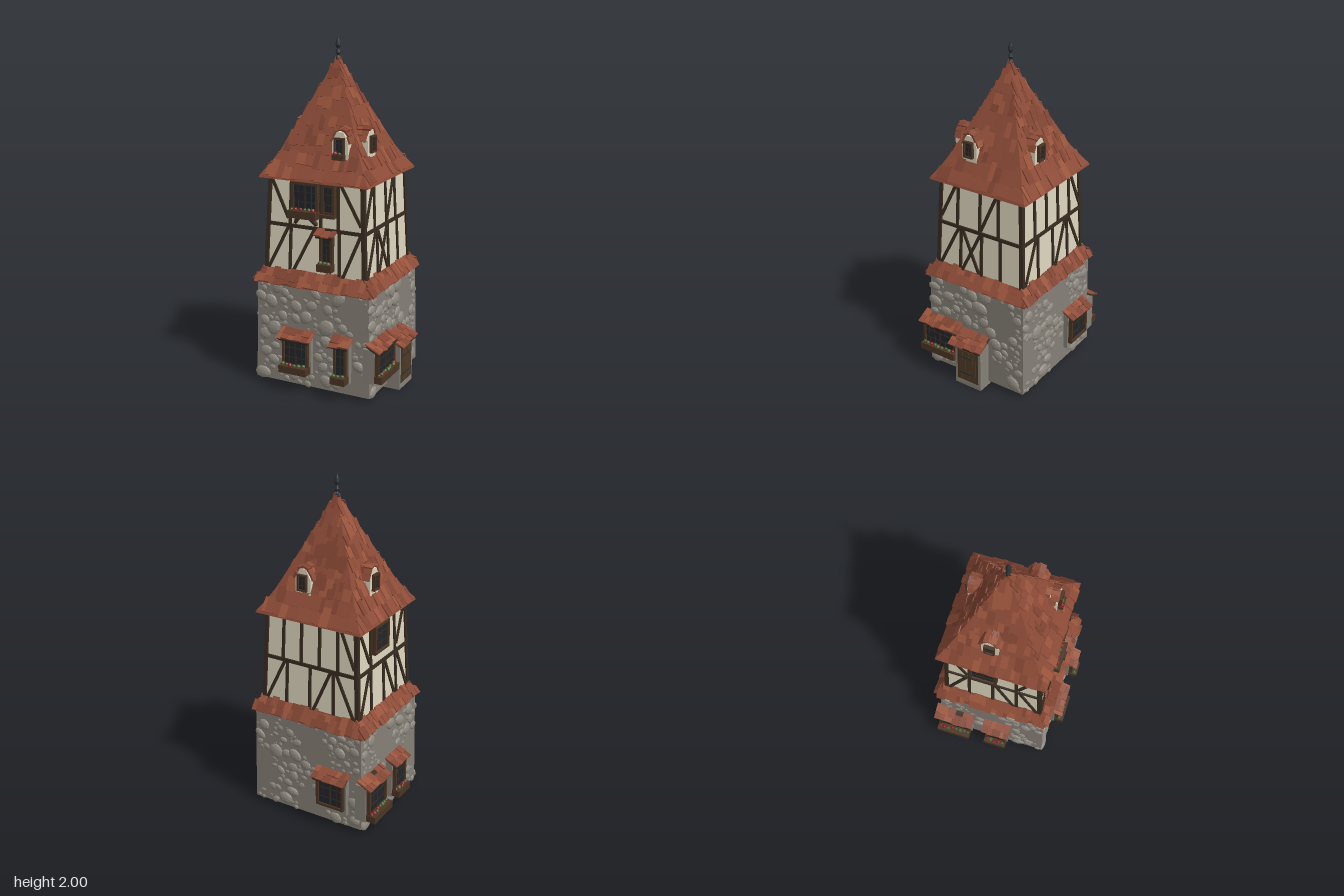
import * as THREE from 'three';
import { mergeGeometries } from 'three/addons/utils/BufferGeometryUtils.js';

const C = { wall: 0x857f76, stone: 0x918c82, plaster: 0xddd5be, timber: 0x382c20, frame: 0x4a3524, glass: 0x20242b,
  tile: 0x8c4b37, tileLight: 0x9a543c, tileDark: 0x7f4331, iron: 0x2b3136, door: 0x4f3b28, leaf: 0x4f6030, flower: 0x8e1f22 };
const CX = -0.01, CZ = -0.012;

export function createModel() {
  let seed = 11;
  const rnd = () => ((seed = (seed * 16807) % 2147483647) / 2147483647);
  const range = (a, b) => a + (b - a) * rnd();
  const lerp = THREE.MathUtils.lerp;

  // Side frames: 0 front, 1 door side (+x), 2 back, 3 far side (-x)
  const frames = [0, 1, 2, 3].map(k =>
    new THREE.Matrix4().makeRotationY(k * Math.PI / 2).setPosition(CX, 0, CZ));
  const parts = new Map();

  // Collect geometry per part name and colour
  function add(name, color, geo, k = 0, side = THREE.FrontSide) {
    const g = geo.index ? geo.toNonIndexed() : geo;
    g.deleteAttribute('uv');
    g.applyMatrix4(frames[k]);
    const key = name + color;
    if (!parts.has(key)) parts.set(key, { name, color, side, list: [] });
    parts.get(key).list.push(g);
  }
  function box(name, color, k, w, h, d, x, y, z, rx = 0, rz = 0) {
    const g = new THREE.BoxGeometry(w, h, d);
    g.rotateX(rx).rotateZ(rz).translate(x, y, z);
    add(name, color, g, k);
  }

  // Open shell through rectangular rings [halfX, halfZ, y]
  function loft(name, color, rings) {
    const pos = [];
    const R = rings.map(([x, z, y]) => [[-x, y, z], [x, y, z], [x, y, -z], [-x, y, -z]]);
    for (let i = 0; i + 1 < R.length; i++)
      for (let j = 0; j < 4; j++) {
        const n = (j + 1) % 4, a = R[i][j], b = R[i][n], c = R[i + 1][n], d = R[i + 1][j];
        pos.push(...a, ...b, ...c, ...a, ...c, ...d);
      }
    const g = new THREE.BufferGeometry();
    g.setAttribute('position', new THREE.Float32BufferAttribute(pos, 3));
    g.computeVertexNormals();
    add(name, color, g, 0, THREE.DoubleSide);
  }

  // Irregular shingle rows on a slope from (y0, z0) at the eave to (y1, z1)
  function tiles(name, k, uc, [y0, z0, hw0], [y1, z1, hw1], step, density, wMax = 0.055, lift = 0.007) {
    const A = Math.atan2(y1 - y0, z0 - z1), L = Math.hypot(y1 - y0, z0 - z1);
    const rows = Math.max(1, Math.round(L / step));
    for (let r = 0; r < rows; r++) {
      const hw = lerp(hw0, hw1, (r + 0.5) / rows);
      for (let u = -hw; u < hw - 0.012;) {
        const w = Math.min(range(0.022, wMax), hw - u), len = step * range(0.9, 1.6);
        if (rnd() < density) {
          const t = Math.max((r + range(0.25, 0.6)) / rows, (len / 2 - range(0, 0.012)) / L), off = range(0, lift);
          const col = [C.tile, C.tile, C.tileLight, C.tileDark][Math.floor(rnd() * 4)];
          box(name, col, k, w * 0.97, 0.008, len, uc + u + w / 2, lerp(y0, y1, t) + off * Math.cos(A),
            lerp(z0, z1, t) + off * Math.sin(A), A - 0.04, range(-0.03, 0.03));
        }
        u += w;
      }
    }
  }

  // Small shingled canopy
  function awning(k, u, y, z, w, out, drop) {
    const A = Math.atan2(drop, out), L = Math.hypot(out, drop);
    box('awningBoard', C.timber, k, w, 0.012, L, u, y - drop / 2 - 0.008, z + out / 2, A);
    tiles('awningTiles', k, u, [y - drop, z + out, w / 2 + 0.01], [y, z, w / 2 + 0.01], 0.045, 0.97);
  }

  function planter(k, u, y, z, w, h = 0.045, d = 0.05) {
    box('planter', C.frame, k, w, h, d, u, y, z + d / 2);
    for (let x = -w / 2 + 0.015; x < w / 2 - 0.008; x += 0.026) {
      const g = new THREE.IcosahedronGeometry(range(0.009, 0.015), 0);
      g.translate(u + x, y + h / 2 + 0.004, z + d * range(0.4, 0.7));
      add('plants', rnd() < 0.35 ? C.flower : C.leaf, g, k);
    }
  }

  // Framed window with glazing bars
  function win(k, u, y, z, w, h, cols, rows, o = {}) {
    const f = o.frame || 0.015, d = 0.03;
    if (o.surround) box('windowSurround', C.wall, k, w + 0.02, h + 0.05, o.surround + 0.03, u, y - 0.01, z + o.surround / 2 - 0.015);
    z += o.surround || 0;
    box('glass', C.glass, k, w - f, h - f, 0.014, u, y, z + 0.005);
    for (const s of [-1, 1]) {
      box('windowFrame', C.frame, k, f, h, d, u + s * (w - f) / 2, y, z + d / 4);
      box('windowFrame', C.frame, k, w, f, d, u, y + s * (h - f) / 2, z + d / 4);
    }
    for (let i = 1; i < cols; i++) box('windowBar', C.timber, k, cols > 2 && i * 2 === cols ? 0.011 : 0.004, h, 0.012, u + w * (i / cols - 0.5), y, z + 0.009);
    for (let i = 1; i < rows; i++) box('windowBar', C.timber, k, w, 0.004, 0.012, u, y + h * (i / rows - 0.5), z + 0.009);
    if (o.planter) planter(k, u, y - h / 2 - 0.008, z, w + 0.01, 0.042, o.planter);
  }

  // Stone base open underneath, skirt roof, plaster storeys and main roof
  loft('stoneBase', C.wall, [[0.363, 0.335, 0.03], [0.352, 0.325, 0.64]]);
  loft('plasterWalls', C.plaster, [[0.315, 0.295, 0.64], [0.288, 0.27, 1.25]]);
  loft('skirtRoof', C.tileDark, [[0.345, 0.32, 0.618], [0.368, 0.345, 0.618], [0.365, 0.342, 0.63], [0.312, 0.292, 0.7]]);
  const roof = [[0.28, 0.26, 1.225], [0.338, 0.32, 1.225], [0.332, 0.314, 1.24], [0.288, 0.273, 1.3], [0.246, 0.233, 1.37], [0.004, 0.004, 1.875]];
  loft('roof', C.tile, roof);
  for (let k = 0; k < 4; k++) {
    const side = ([x, z, y], inset = 0) => k % 2 ? [y, x, z - inset] : [y, z, x - inset];
    tiles('skirtTiles', k, 0, side([0.372, 0.35, 0.628]), side([0.318, 0.298, 0.7]), 0.048, 0.97);
    for (let i = 2; i < 5; i++)
      tiles('roofTiles', k, 0, side(roof[i], 0.012), side(roof[i + 1], i < 4 ? 0.012 : 0), i < 4 ? 0.07 : 0.058, 0.62, 0.06, 0.004);
  }

  // Finial
  const finial = [[0.001, 1.85], [0.014, 1.86], [0.012, 1.88], [0.006, 1.89], [0.015, 1.905], [0.007, 1.925], [0.016, 1.945], [0.012, 1.965], [0.004, 1.985], [0.0, 2]];
  add('finial', C.iron, new THREE.LatheGeometry(finial.map(p => new THREE.Vector2(...p)), 10));

  // Timber framing: u is a fraction of the half width, y is absolute
  function beam(k, u0, y0, u1, y1, w = 0.017) {
    const P = (u, y) => {
      const t = (y - 0.64) / 0.61, x = lerp(0.315, 0.288, t), z = lerp(0.295, 0.27, t);
      return k % 2 ? new THREE.Vector3(u * z, y, x) : new THREE.Vector3(u * x, y, z);
    };
    const a = P(u0, y0), b = P(u1, y1), dir = b.clone().sub(a), len = dir.length();
    dir.normalize();
    const xa = dir.clone().cross(new THREE.Vector3(0, 0, 1)).normalize(), za = xa.clone().cross(dir);
    const g = new THREE.BoxGeometry(w, len, 0.018);
    g.applyMatrix4(new THREE.Matrix4().makeBasis(xa, dir, za).setPosition(a.add(b).multiplyScalar(0.5)));
    add('timberFrame', C.timber, g, k);
  }
  const lo = 0.68, mid = 0.96, hi = 1.23;
  const lower = [[-0.5, 0.5], [-0.45, 0.05, 0.5], [-0.5, 0, 0.5], [-0.5, 0, 0.5]];
  const upper = [[-0.52, 0.12, 0.48], [-0.55, 0, 0.45], [-0.6, -0.2, 0.2, 0.6], [-0.5, 0.5]];
  const braces = [
    [[-0.97, lo, -0.54, mid], [-0.46, lo, 0, mid], [0.54, lo, 0.95, mid], [-0.97, hi, -0.56, 1.0], [0.52, hi, 0.95, 1.0]],
    [[-0.95, lo, -0.5, mid], [-0.43, lo, 0.03, mid], [-0.43, mid, 0.03, lo], [-0.95, 1.0, -0.58, hi], [0.03, 0.98, 0.43, hi]],
    [[0.95, lo, 0.55, mid], [-0.95, lo, -0.55, mid], [0.05, lo, 0.45, mid], [0.65, hi, 0.95, 1.0]],
    [[-0.95, lo, -0.55, mid], [0.05, mid, 0.45, lo], [0.95, lo, 0.55, mid], [-0.95, hi, -0.55, 1.0], [0.55, 1.0, 0.95, hi]]];
  for (let k = 0; k < 4; k++) {
    beam(k, -1, mid, 1, mid, 0.02);
    beam(k, -1, 1.225, 1, 1.225);
    for (const s of [-1, 1]) beam(k, s * 0.985, 0.66, s * 0.985, hi, 0.022);
    lower[k].forEach(u => beam(k, u, lo, u, mid));
    upper[k].forEach(u => beam(k, u, mid, u, hi));
    braces[k].forEach(b => beam(k, ...b));
  }

  // Upper windows
  win(0, -0.055, 1.135, 0.285, 0.165, 0.17, 4, 3, { planter: 0.058 });
  for (const s of [-1, 1]) box('windowBracket', C.frame, 0, 0.016, 0.06, 0.03, -0.055 + s * 0.05, 1.005, 0.295, 0.5, s * 0.6);
  win(0, 0.09, 1.135, 0.285, 0.08, 0.17, 2, 3);
  box('windowSill', C.frame, 0, 0.09, 0.018, 0.045, 0.09, 1.045, 0.298);
  win(0, 0.08, 0.85, 0.29, 0.08, 0.18, 2, 3, { planter: 0.05 });
  awning(0, 0.08, 0.965, 0.28, 0.1, 0.06, 0.03);
  win(3, -0.05, 1.125, 0.305, 0.16, 0.17, 4, 3);

  // Lower windows: [side, u, y, width, height, surround, columns, planter depth, awning reach]
  const low = [[0, -0.085, 0.235, 0.165, 0.17, 0.03, 4, 0.058, 0.075], [0, 0.2, 0.235, 0.08, 0.19, 0.03, 2, 0.055, 0.075],
    [1, -0.225, 0.24, 0.235, 0.15, 0.04, 6, 0.045, 0.075], [2, 0.18, 0.235, 0.18, 0.18, 0.03, 4, 0, 0.075],
    [3, -0.235, 0.225, 0.2, 0.18, 0.04, 4, 0.06, 0.08], [3, 0.04, 0.225, 0.13, 0.18, 0.04, 3, 0.05, 0.08]];
  for (const [k, u, y, w, h, s, cols, p, reach] of low) {
    const z = k % 2 ? 0.358 : 0.33;
    win(k, u, y, z, w, h, cols, 3, { surround: s, planter: p });
    awning(k, u, y + h / 2 + 0.042, z - 0.005, w + 0.025, reach, 0.042);
  }

  // Door in its stone porch
  box('doorSurround', C.wall, 1, 0.18, 0.28, 0.1, 0, 0.14, 0.39);
  box('doorStep', C.stone, 1, 0.17, 0.03, 0.03, 0, 0.015, 0.425);
  box('doorFrame', C.frame, 1, 0.146, 0.225, 0.012, 0, 0.148, 0.436);
  for (let i = 0; i < 5; i++) box('doorPlank', C.door, 1, 0.0225, 0.2, 0.012, (i - 2) * 0.024, 0.142, 0.439);
  for (const y of [0.09, 0.2]) box('doorHinge', C.iron, 1, 0.09, 0.009, 0.006, -0.015, y, 0.446);
  awning(1, -0.005, 0.332, 0.36, 0.21, 0.105, 0.055);

  // Rounded stones in clusters over the base, clear of the openings
  const clear = low.map(([k, u, y, w, h]) => [k, u, y, w / 2 + 0.02, h / 2 + 0.045]);
  clear.push([1, 0, 0.16, 0.1, 0.18]);
  for (let k = 0; k < 4; k++) {
    const placed = [], hw = k % 2 ? 0.325 : 0.35;
    for (let n = 0; n < 600; n++) {
      const r = n < 130 ? range(0.026, 0.048) : range(0.009, 0.024);
      const u = range(-hw + r * 0.6, hw - r * 0.6), y = range(0.035, 0.61 - r * 0.5);
      if (Math.sin(u * 17 + k * 2) + Math.cos(y * 15 + u * 8 + k) < -0.6) continue;
      if (clear.some(c => c[0] === k && Math.abs(u - c[1]) < c[3] + r * 0.5 && Math.abs(y - c[2]) < c[4] + r * 0.5)) continue;
      if (placed.some(p => Math.hypot(u - p[0], y - p[1]) < (r + p[2]) * 0.82)) continue;
      placed.push([u, y, r]);
      const g = new THREE.IcosahedronGeometry(r, 1);
      g.rotateX(range(0, 3)).scale(range(0.85, 1.25), range(0.7, 1.05), 0.38).rotateZ(range(-0.8, 0.8));
      g.translate(u, Math.max(y, r + 0.002), (k % 2 ? 0.363 : 0.335) - 0.018 * y);
      add('wallStones', C.stone, g, k);
    }
  }

  // Gabled dormers
  [[0.135, 0.246], [-0.098, 0.255], [-0.07, 0.24], [-0.025, 0.255]].forEach(([u, z], k) => {
    const s = new THREE.Shape([[-0.048, 1.355], [0.048, 1.355], [0.048, 1.45], [0.02, 1.505], [-0.02, 1.505], [-0.048, 1.45]].map(p => new THREE.Vector2(...p)));
    const g = new THREE.ExtrudeGeometry(s, { depth: 0.15, bevelEnabled: false });
    add('dormer', C.plaster, g.translate(u, 0, z - 0.15), k);
    win(k, u, 1.428, z - 0.004, 0.06, 0.095, 2, 3, { frame: 0.009 });
    for (const m of [-1, 1]) for (let i = 0; i < 3; i++) for (const [x, y, a] of [[0.014, 1.515, 0.35], [0.034, 1.495, 1.0], [0.05, 1.465, 1.15]])
      box('dormerTiles', [C.tile, C.tileLight, C.tileDark][Math.floor(rnd() * 3)], k, 0.042, 0.011, range(0.04, 0.052), u + m * x,
        y + range(-0.003, 0.004), z - 0.024 - i * 0.042 + range(-0.006, 0.006), range(-0.1, 0.1), -m * (a + range(-0.15, 0.1)));
    if (k === 0) planter(k, u, 1.37, z, 0.07, 0.03, 0.03);
  });

  const group = new THREE.Group();
  group.name = 'timberTower';
  for (const { name, color, side, list } of parts.values()) {
    const mesh = new THREE.Mesh(mergeGeometries(list), new THREE.MeshStandardMaterial({ color, side, flatShading: true }));
    mesh.name = name;
    group.add(mesh);
  }
  return group;
}
